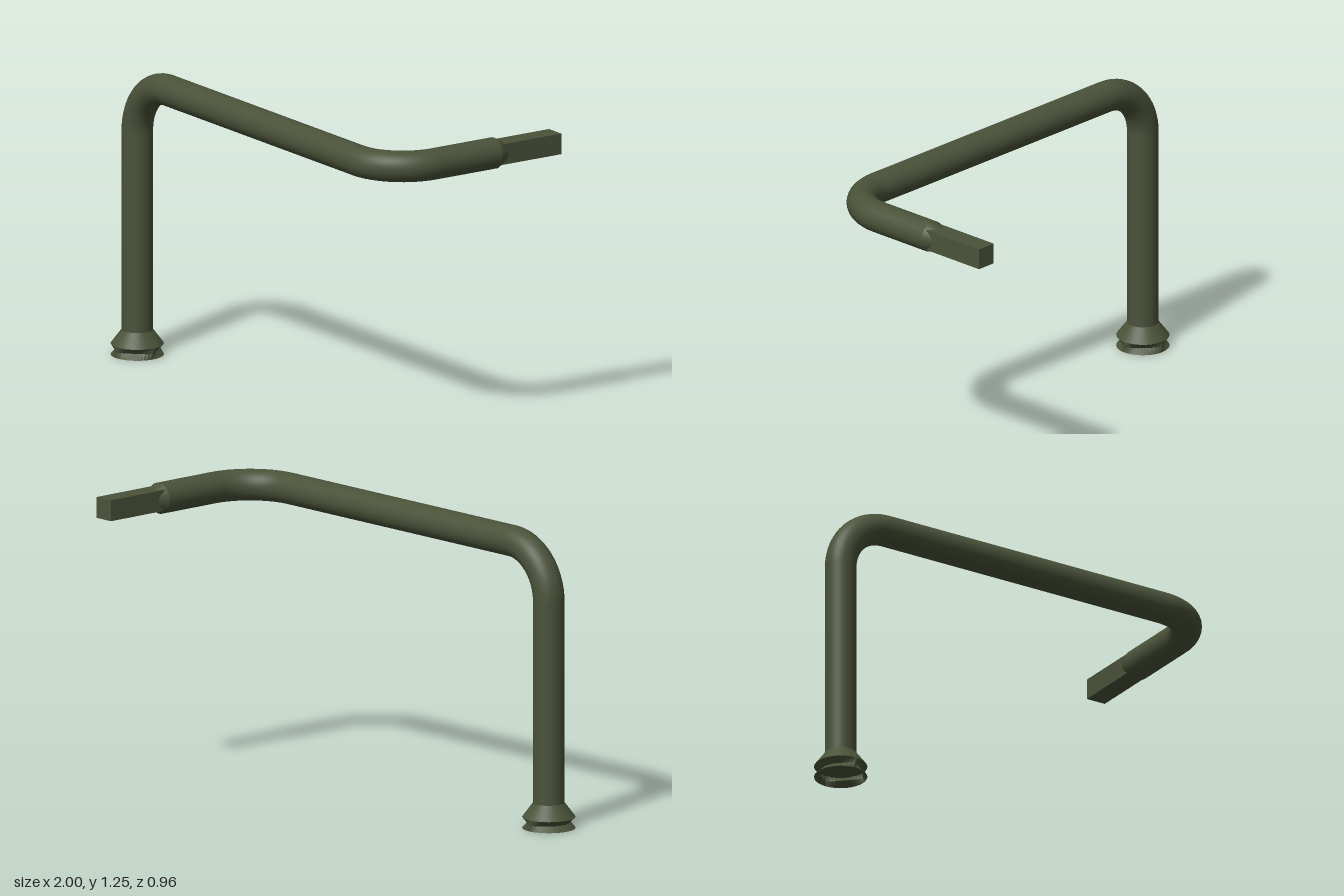
import * as THREE from 'three';

export function createModel() {
  const group = new THREE.Group();
  const olive = new THREE.MeshStandardMaterial({ color: 0x4a5239 });
  const oliveOpen = new THREE.MeshStandardMaterial({ color: 0x4a5239, side: THREE.DoubleSide });
  const R = 0.066, BEND = 0.225, SIDES = 32;
  const X0 = -0.89, X1 = 0.934, Y = 1.187, Z0 = 0.366, ZEND = -0.165;

  function add(name, geometry, material = olive) {
    const mesh = new THREE.Mesh(geometry, material);
    mesh.name = name;
    group.add(mesh);
    return mesh;
  }

  // straight round section from a to b
  function rod(name, a, b, ra = R, rb = R) {
    const from = new THREE.Vector3(...a), to = new THREE.Vector3(...b);
    const mesh = add(name, new THREE.CylinderGeometry(rb, ra, from.distanceTo(to), SIDES));
    mesh.position.copy(from).add(to).multiplyScalar(0.5);
    mesh.quaternion.setFromUnitVectors(new THREE.Vector3(0, 1, 0), to.sub(from).normalize());
  }

  // pipe: upright, long arm and short return
  rod('upright', [X0, 0.1, Z0], [X0, Y - BEND, Z0]);
  rod('longArm', [X0 + BEND, Y, Z0], [X1 - BEND, Y, Z0]);
  rod('shortArm', [X1, Y, Z0 - BEND], [X1, Y, ZEND]);

  // quarter bends
  const elbow = new THREE.TorusGeometry(BEND, R, SIDES, 16, Math.PI / 2);
  add('upperBend', elbow.clone().rotateZ(Math.PI / 2)).position.set(X0 + BEND, Y - BEND, Z0);
  add('sideBend', elbow.clone().rotateX(Math.PI / 2)).position.set(X1 - BEND, Y, Z0 - BEND);

  // tapered tip and square drive bar
  rod('tipTaper', [X1, Y, ZEND], [X1, Y, -0.21], R, 0.044);
  const bar = add('squareBar', new THREE.BoxGeometry(0.089, 0.089, 0.328));
  bar.position.set(X1, Y, -0.314);

  // flared foot
  rod('footCone', [X0, 0.047, Z0], [X0, 0.107, Z0], 0.111, R);

  // open collar, pinched at mid height between its full-width ridges
  const collar = new THREE.CylinderGeometry(0.111, 0.111, 0.047, 48, 2, true).toNonIndexed();
  const p = collar.attributes.position;
  for (let i = 0; i < p.count; i++) {
    if (Math.abs(p.getY(i)) > 0.001) continue;
    const a = Math.abs(Math.atan2(p.getZ(i), p.getX(i)));
    const pinch = a > Math.PI * 0.75 ? 1 : Math.abs(Math.sin(2 * a));
    const s = 1 - 0.22 * pinch;
    p.setX(i, p.getX(i) * s);
    p.setZ(i, p.getZ(i) * s);
  }
  collar.computeVertexNormals();
  add('footCollar', collar, oliveOpen).position.set(X0, 0.0235, Z0);

  return group;
}
